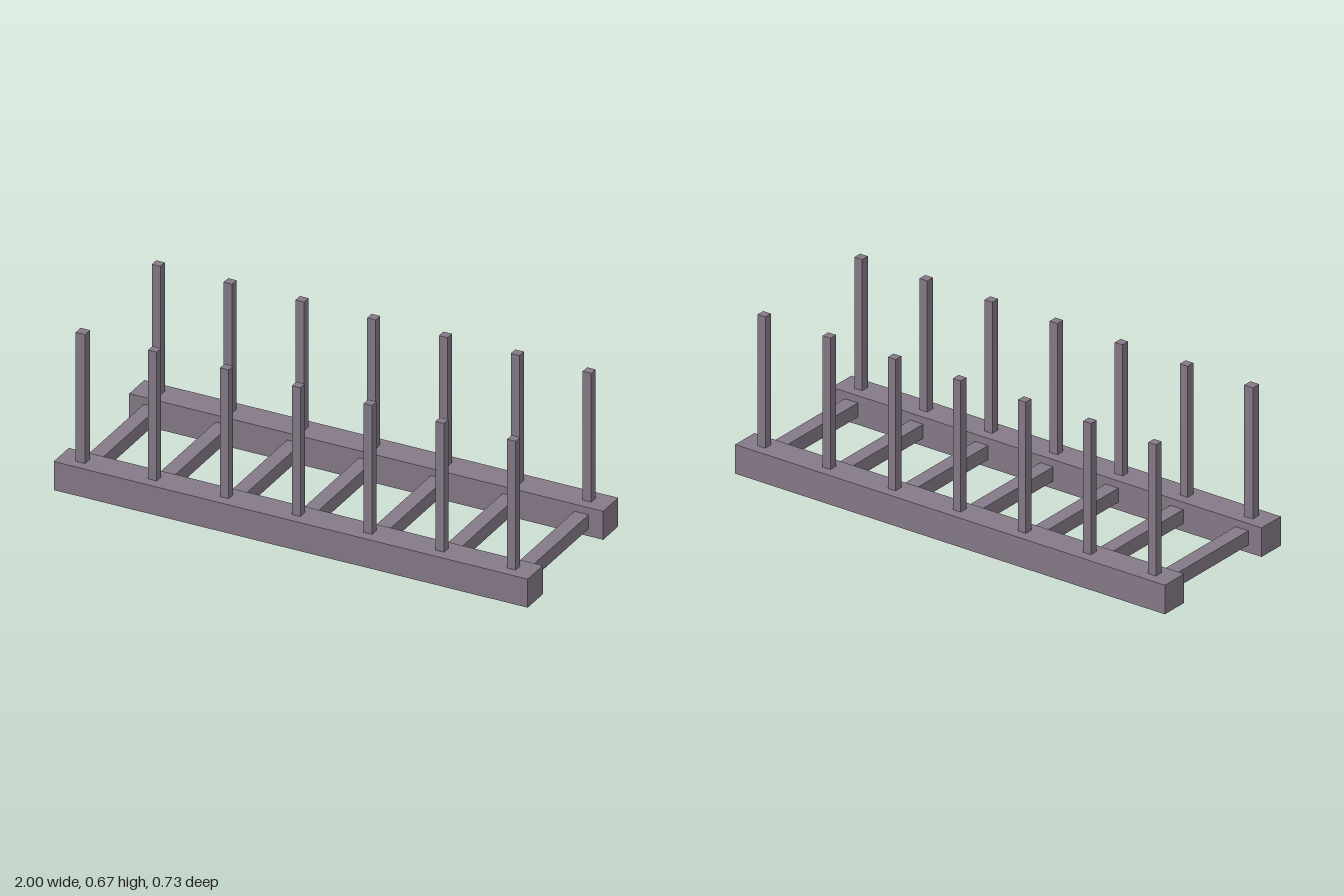
import * as THREE from 'three';

export function createModel() {
  const group = new THREE.Group();
  const material = new THREE.MeshStandardMaterial({ color: 0x857a88, flatShading: true });

  const box = (name, size, position) => {
    const mesh = new THREE.Mesh(new THREE.BoxGeometry(...size), material);
    mesh.name = name;
    mesh.position.set(...position);
    group.add(mesh);
  };

  const count = 7, spacing = 0.303;
  const railZ = 0.303, railSize = 0.121, postTop = 0.667;

  // Two long base rails
  for (const side of [1, -1]) {
    box(side > 0 ? 'frontRail' : 'backRail', [2, railSize, railSize], [0, railSize / 2, side * railZ]);
  }

  for (let i = 0; i < count; i++) {
    const x = (i - (count - 1) / 2) * spacing;

    // Crossbar between the rails
    box('crossbar' + (i + 1), [0.06, 0.059, 2 * railZ - railSize], [x, 0.0615, 0]);

    // Pair of upright posts; the front corner post is slightly thicker
    for (const side of [1, -1]) {
      const width = side > 0 && i === 0 ? 0.04 : 0.036;
      const height = postTop - railSize;
      box((side > 0 ? 'frontPost' : 'backPost') + (i + 1),
        [width, height, width], [x, railSize + height / 2, side * railZ]);
    }
  }

  return group;
}
